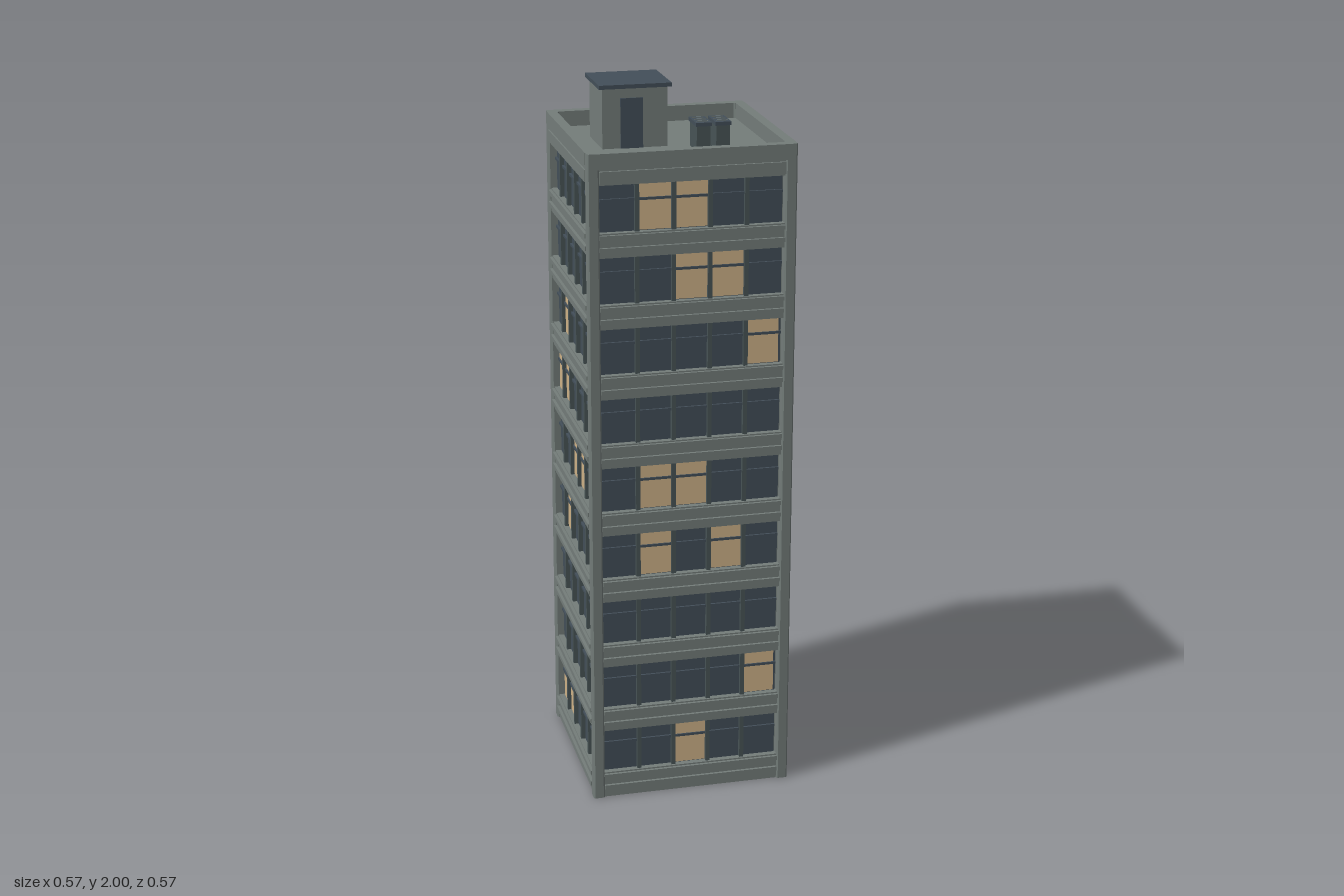
import * as THREE from 'three';

const FLOORS = 9, PITCH = 0.197, SILL = 0.076, WIN_H = 0.13, TOP = 1.868, ROOF = 1.825;

// Lit windows per side: one string per floor from the ground up, columns counted
// left to right as seen from outside.
const LIT = {
  front: ['2', '4', '', '13', '12', '', '4', '23', '12'],
  left: ['', '2', '', '', '04', '01', '2', '4', '04'],
  back: ['', '', '4', '3', '0', '', '', '0', '0'],
  right: ['014', '', '', '14', '23', '01', '1', '4', '4'],
};

export function createModel() {
  const material = (name, color) => {
    const m = new THREE.MeshStandardMaterial({ color });
    m.name = name;
    return m;
  };
  const concrete = material('concrete', 0x747d7a);
  const glass = material('dark glass', 0x434f59);
  const lamp = material('lit glass', 0xcfb288);
  const frame = material('window frame', 0x485456);

  const model = new THREE.Group();
  model.name = 'officeTower';

  // Box given by its lower and upper limits on each axis
  function box(parent, name, mat, x0, x1, y0, y1, z0, z1) {
    const mesh = new THREE.Mesh(new THREE.BoxGeometry(x1 - x0, y1 - y0, z1 - z0), mat);
    mesh.position.set((x0 + x1) / 2, (y0 + y1) / 2, (z0 + z1) / 2);
    mesh.name = name;
    parent.add(mesh);
    return mesh;
  }

  // Solid core whose top is the sunken roof deck
  box(model, 'core', concrete, -0.256, 0.256, 0.002, ROOF, -0.256, 0.256);

  // Corner pillars with a small chamfer
  const a = 0.016, c = 0.012;
  const outline = new THREE.Shape([[-a, -c], [-c, -a], [c, -a], [a, -c], [a, c], [c, a], [-c, a], [-a, c]]
    .map(([x, y]) => new THREE.Vector2(x, y)));
  const pillarGeo = new THREE.ExtrudeGeometry(outline, { depth: TOP, bevelEnabled: false });
  pillarGeo.rotateX(-Math.PI / 2);
  for (const sx of [-1, 1]) for (const sz of [-1, 1]) {
    const pillar = new THREE.Mesh(pillarGeo, concrete);
    pillar.position.set(sx * 0.269, 0, sz * 0.269);
    pillar.name = 'cornerPillar';
    model.add(pillar);
  }

  // One side of the tower, built facing +z and then turned into place
  function facade(name, lit, angle) {
    const side = new THREE.Group();
    side.name = name + 'Facade';
    for (let i = 0; i < FLOORS; i++) {
      const y = SILL + i * PITCH, top = y + WIN_H;
      const below = i === 0 ? 0 : y - PITCH + WIN_H;

      // Spandrel with two projecting ledges
      box(side, 'spandrel', concrete, -0.255, 0.255, below, y, 0.25, 0.279);
      box(side, 'sillLedge', concrete, -0.253, 0.253, y - 0.016, y - 0.004, 0.27, 0.287);
      box(side, 'lowerLedge', concrete, -0.253, 0.253, y - 0.05, y - 0.038, 0.27, 0.287);

      // Window strip, lit panes and bars
      box(side, 'glassStrip', glass, -0.25, 0.25, y, top, 0.255, 0.262);
      for (const col of lit[i]) {
        const x = (Number(col) - 2) * 0.1;
        box(side, 'litPane', lamp, x - 0.044, x + 0.044, y + 0.002, top - 0.002, 0.26, 0.264);
      }
      for (let k = 0; k < 4; k++) {
        const x = (k - 1.5) * 0.1;
        box(side, 'mullion', frame, x - 0.006, x + 0.006, y, top, 0.258, 0.274);
      }
      box(side, 'transom', glass, -0.25, 0.25, y + 0.083, y + 0.09, 0.258, 0.268);
    }

    // Top band and parapet
    const lastTop = SILL + (FLOORS - 1) * PITCH + WIN_H;
    box(side, 'topBand', concrete, -0.255, 0.255, lastTop, ROOF, 0.25, 0.279);
    box(side, 'topLedge', concrete, -0.253, 0.253, lastTop + 0.006, lastTop + 0.038, 0.27, 0.286);
    box(side, 'parapet', concrete, -0.26, 0.26, ROOF, TOP, 0.258, 0.286);
    side.rotation.y = angle;
    model.add(side);
  }
  facade('front', LIT.front, 0);
  facade('left', LIT.left, Math.PI / 2);
  facade('back', LIT.back, Math.PI);
  facade('right', LIT.right, -Math.PI / 2);

  // Stair house on the roof
  const house = new THREE.Group();
  house.name = 'stairHouse';
  box(house, 'houseWalls', concrete, -0.194, -0.014, ROOF, 1.99, -0.117, 0.048);
  box(house, 'houseRoof', glass, -0.204, -0.004, 1.989, 2.0, -0.128, 0.058);
  box(house, 'door', glass, -0.144, -0.082, ROOF, 1.962, 0.046, 0.052);
  model.add(house);

  // Pair of cooling units with slatted lids
  for (const x of [0.066, 0.12]) {
    const unit = new THREE.Group();
    unit.name = 'coolingUnit';
    box(unit, 'unitBody', frame, x - 0.019, x + 0.019, ROOF, 1.895, 0.054, 0.131);
    box(unit, 'unitLid', glass, x - 0.022, x + 0.022, 1.893, 1.903, 0.05, 0.135);
    for (const z of [0.067, 0.092, 0.117]) {
      box(unit, 'slat', concrete, x - 0.016, x + 0.016, 1.902, 1.905, z - 0.0015, z + 0.0015);
    }
    model.add(unit);
  }
  return model;
}
